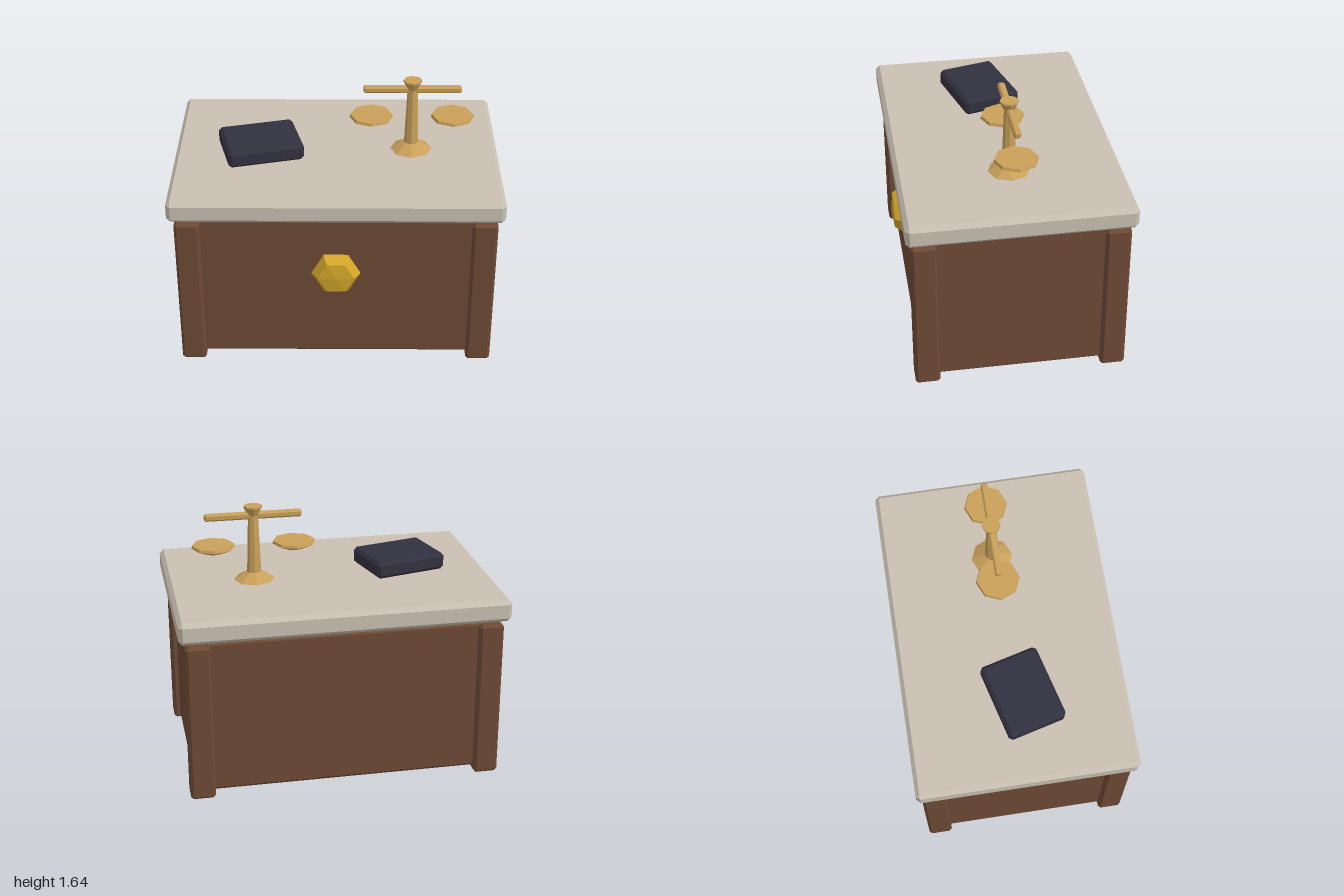
import * as THREE from 'three';
import { ConvexGeometry } from 'three/addons/geometries/ConvexGeometry.js';

const paint = (name, color) => {
  const m = new THREE.MeshStandardMaterial({ color });
  m.name = name;
  return m;
};

// Box with every edge cut by a bevel c
function bevelBox(w, h, d, c) {
  const points = [];
  for (const x of [-1, 1]) for (const y of [-1, 1]) for (const z of [-1, 1]) {
    for (let axis = 0; axis < 3; axis++) {
      const size = [w / 2 - c, h / 2 - c, d / 2 - c];
      size[axis] += c;
      points.push(new THREE.Vector3(x * size[0], y * size[1], z * size[2]));
    }
  }
  return new ConvexGeometry(points);
}

// Faceted turned shape from [radius, height] pairs, bottom to top
function turned(profile, sides) {
  const g = new THREE.LatheGeometry(profile.map(([r, y]) => new THREE.Vector2(r, y)), sides).toNonIndexed();
  g.computeVertexNormals();
  return g;
}

export function createModel() {
  const model = new THREE.Group();
  model.name = 'judgeDesk';
  const wood = paint('wood', 0x6e4a35);
  const stone = paint('stone', 0xc9c0b2);
  const brass = paint('brass', 0xc9a05a);
  const gold = paint('gold', 0xd4a82a);
  const leather = paint('darkLeather', 0x32313f);

  const add = (parent, name, geometry, material, x = 0, y = 0, z = 0) => {
    const mesh = new THREE.Mesh(geometry, material);
    mesh.name = name;
    mesh.position.set(x, y, z);
    parent.add(mesh);
    return mesh;
  };

  // Desk body, corner posts and top slab
  add(model, 'body', bevelBox(1.85, 0.98, 1.2, 0.02), wood, 0, 0.52, 0);
  const postGeometry = bevelBox(0.15, 1, 0.15, 0.016);
  for (const x of [-1, 1]) for (const z of [-1, 1]) {
    add(model, 'cornerPost', postGeometry, wood, x * 0.888, 0.5, z * 0.57);
  }
  add(model, 'topSlab', bevelBox(2, 0.137, 1.35, 0.025), stone, 0, 1.095, 0);

  // Six-sided medallion on the front
  const medallion = turned([[0, 0], [0.147, 0], [0.147, 0.02], [0.11, 0.073], [0, 0.085]], 6);
  medallion.rotateY(Math.PI / 2).rotateX(Math.PI / 2);
  add(model, 'medallion', medallion, gold, 0, 0.635, 0.595);

  // Closed book lying askew
  const book = add(model, 'book', bevelBox(0.47, 0.107, 0.365, 0.02), leather, -0.468, 1.22, 0.045);
  book.rotation.y = 0.25;

  // Balance scale: stand, beam and two shallow pans
  const scale = new THREE.Group();
  scale.name = 'balanceScale';
  scale.position.set(0.463, 0, 0);
  model.add(scale);
  add(scale, 'stand', turned([
    [0, 1.16], [0.134, 1.16], [0.044, 1.213], [0.031, 1.575], [0.056, 1.625], [0.056, 1.636], [0, 1.636],
  ], 8), brass);
  add(scale, 'beam', bevelBox(0.6, 0.043, 0.043, 0.01), brass, 0, 1.575, 0);
  const panGeometry = turned([[0, 1.35], [0.055, 1.35], [0.134, 1.385], [0.128, 1.402], [0, 1.402]], 8);
  for (const x of [-1, 1]) add(scale, 'pan', panGeometry, brass, x * 0.25, 0, 0);

  return model;
}
